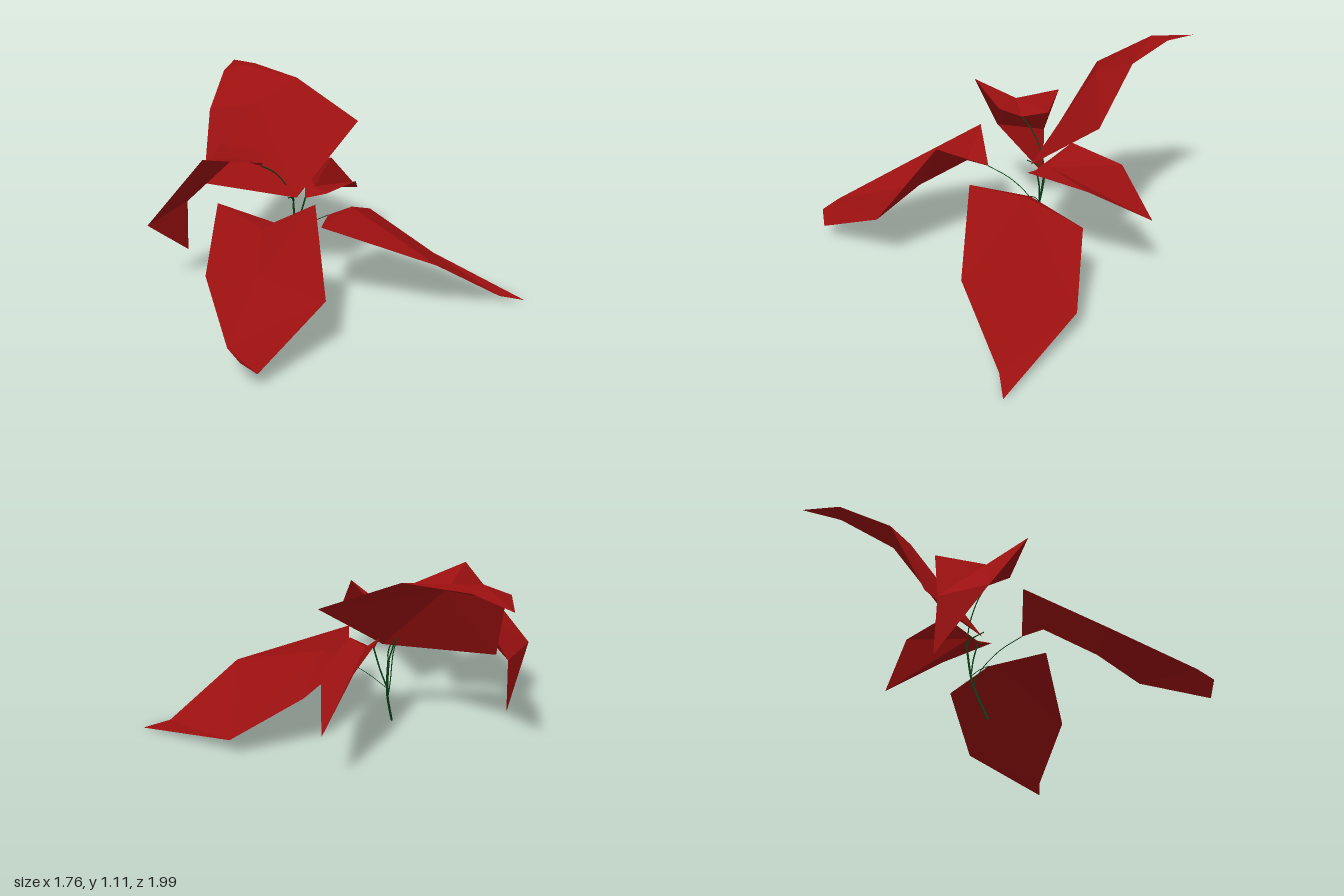
import * as THREE from 'three';

const leafMat = new THREE.MeshStandardMaterial({ color: 0x9c1010, side: THREE.DoubleSide, flatShading: true });
const stemMat = new THREE.MeshStandardMaterial({ color: 0x0c4018 });

// Folded leaf: a few corner points and the triangles between them, wound to face up
function leaf(name, corners, faces) {
  const geo = new THREE.BufferGeometry();
  geo.setAttribute('position', new THREE.Float32BufferAttribute(corners.flat(), 3));
  geo.setIndex(faces.split(' ').flatMap((f) => [...f].map(Number)));
  const flat = geo.toNonIndexed();
  flat.computeVertexNormals();
  const mesh = new THREE.Mesh(flat, leafMat);
  mesh.name = name;
  return mesh;
}

// Thin stem following a curve through the given points
function stem(name, points, radius) {
  const curve = new THREE.CatmullRomCurve3(points.map((p) => new THREE.Vector3(...p)));
  const mesh = new THREE.Mesh(new THREE.TubeGeometry(curve, 8, radius, 4, false), stemMat);
  mesh.name = name;
  return mesh;
}

export function createModel() {
  const group = new THREE.Group();
  group.name = 'plant';

  // Broad front leaf, drooping to the ground
  group.add(leaf('frontLeaf', [
    [0.28, 0.42, 0], [0, 0.47, 0.145], [0.305, 0.28, 0.67], [0.65, 0.03, 0.88],
    [0.74, 0, 0.99], [0.78, 0.12, 0.4], [0.62, 0.367, 0.06], [0.33, 0.48, 0.12],
  ], '017 712 725 235 345 756 760'));

  // Side leaf on the right, folded along its middle
  group.add(leaf('rightLeaf', [
    [-0.055, 0.455, -0.12], [-0.25, 0.575, -0.34], [-0.595, 0.34, -0.135], [-0.855, 0.17, 0.215],
    [-0.885, 0.14, 0.315], [-0.83, 0.075, 0.37], [-0.385, 0.285, 0.44], [-0.155, 0.66, 0.215],
    [-0.18, 0.465, -0.1], [-0.405, 0.31, 0.04],
  ], '018 129 198 239 369 356 345 967 897 087'));

  // Back leaf, hanging down towards its tip
  group.add(leaf('backLeaf', [
    [-0.04, 0.765, -0.2], [0.05, 0.71, -0.285], [0.17, 0.735, -0.36], [0.095, 0.77, -0.61],
    [-0.06, 0.445, -0.73], [-0.06, 0.147, -0.74], [-0.385, 0.4, -0.73], [-0.315, 0.82, -0.38],
    [-0.05, 0.76, -0.39],
  ], '018 128 238 348 846 456 678 708'));

  // Tall leaf rising to the back
  group.add(leaf('tallLeaf', [
    [0.055, 0.525, -0.705], [0.19, 0.515, -0.15], [0.63, 0.87, -0.04], [0.6, 1.07, -0.445],
    [0.64, 1.105, -0.785], [0.7, 1.09, -0.995], [0.5, 1.07, -0.91], [0.23, 0.905, -0.795],
    [0.35, 0.955, -0.545], [0.54, 1.11, -0.8],
  ], '018 087 128 238 349 398 459 569 679 789'));

  // Small leaf on the left
  group.add(leaf('leftLeaf', [
    [0.235, 0.505, -0.125], [0.26, 0.55, 0], [0.595, 0.523, -0.025], [0.88, 0.37, -0.19],
    [0.67, 0.605, -0.245], [0.385, 0.66, -0.235], [0.32, 0.55, -0.12],
  ], '016 126 236 346 456 506'));

  // Main stem and one thin stalk per leaf
  group.add(stem('mainStem', [[0.12, 0.035, -0.17], [0.215, 0.25, -0.19], [0.235, 0.36, -0.2], [0.243, 0.46, -0.21]], 0.007));
  group.add(stem('frontStalk', [[0.225, 0.29, -0.19], [0.25, 0.36, -0.1], [0.28, 0.42, 0]], 0.002));
  group.add(stem('rightStalk', [[0.205, 0.23, -0.19], [0.17, 0.3, -0.185], [0.07, 0.4, -0.15], [-0.055, 0.455, -0.12]], 0.003));
  group.add(stem('backStalk', [[0.243, 0.46, -0.21], [0.21, 0.56, -0.23], [0.13, 0.66, -0.26], [0.05, 0.71, -0.285]], 0.004));
  group.add(stem('tallStalk', [[0.243, 0.45, -0.21], [0.23, 0.49, -0.2], [0.15, 0.52, -0.18]], 0.004));
  group.add(stem('leftStalk', [[0.225, 0.3, -0.19], [0.24, 0.4, -0.16], [0.24, 0.51, -0.125]], 0.005));

  return group;
}
